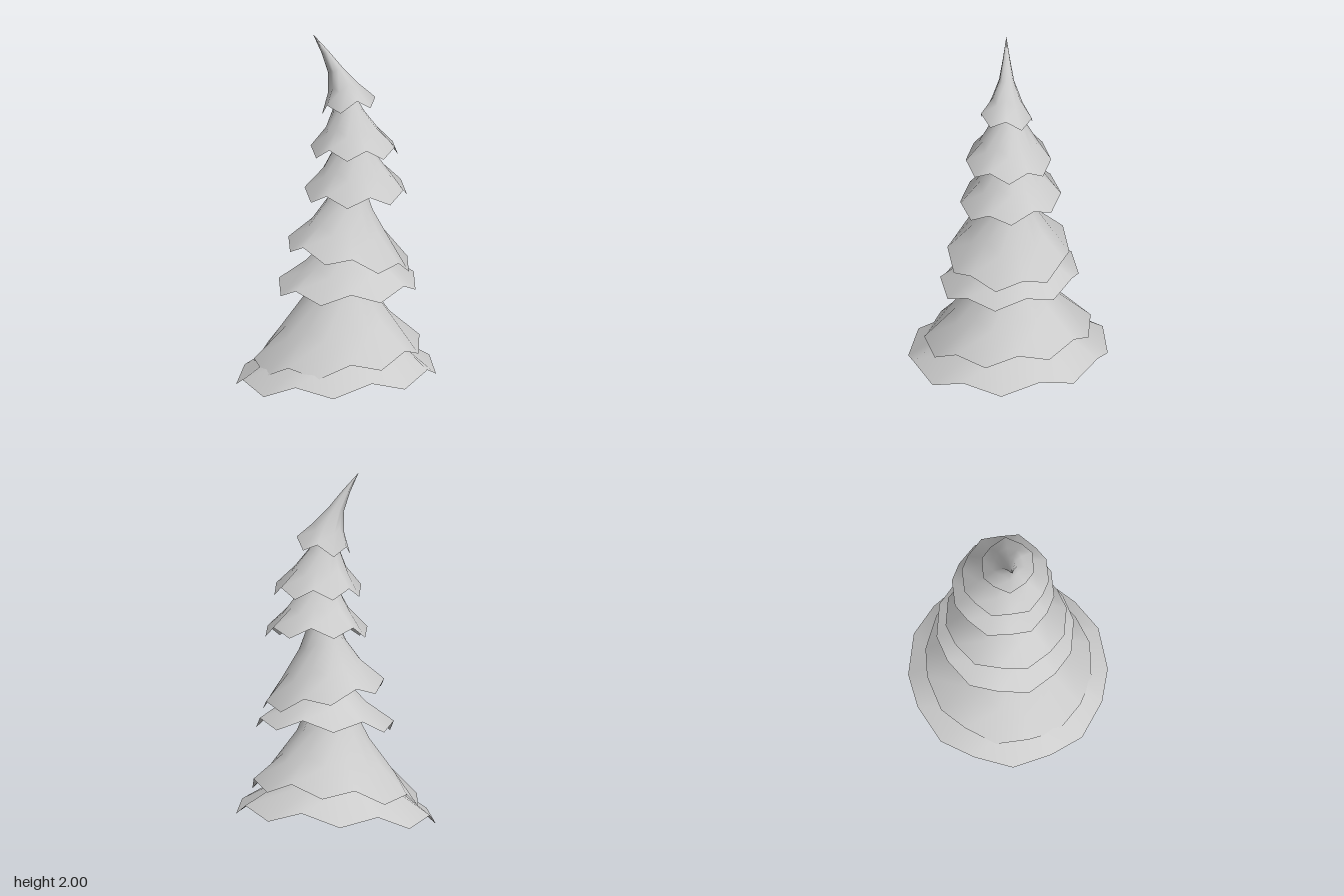
import * as THREE from 'three';

// Tiers from the ground up. phase: turn in sides; slim: above 1 narrows the neck;
// rim: height, radius, centre x, centre z; tilt: rise of the rim along x and z; tip: x, height, z
const tiers = [
  { name: 'bottomBranches', sides: 16, phase: 0.5, slim: 1.12, rim: [0.08, 0.56, 0, 0], tilt: [0.075, 0.02], tip: [0.02, 0.72, 0.02] },
  { name: 'secondBranches', sides: 16, phase: 1, slim: 0.88, rim: [0.2, 0.47, 0, 0.005], tilt: [0.14, 0.03], tip: [0.03, 0.88, 0.03] },
  { name: 'thirdBranches', sides: 14, phase: 0.5, slim: 1, rim: [0.585, 0.388, 0.045, 0.045], tilt: [0.1, -0.03], tip: [0.05, 1.05, 0.05] },
  { name: 'middleBranches', sides: 14, phase: 0.5, slim: 0.97, rim: [0.755, 0.342, 0.045, 0.055], tilt: [-0.08, -0.16], tip: [0.06, 1.33, 0.05] },
  { name: 'fifthBranches', sides: 14, phase: 0, slim: 1, rim: [1.11, 0.288, 0.08, 0.08], tilt: [0.09, -0.05], tip: [0.04, 1.6, 0.04] },
  { name: 'sixthBranches', sides: 14, phase: 0, slim: 1, rim: [1.345, 0.245, 0.065, 0.08], tilt: [0.01, 0], tip: [0, 1.8, 0] },
  { name: 'topBranches', sides: 10, phase: 0.5, slim: 1.25, rim: [1.595, 0.15, 0.037, 0.06], tilt: [0.02, 0.18], tip: [-0.085, 2, -0.095] },
];

// Radius at equal steps from rim to tip, giving the flared skirt and narrow neck
const flare = [1, 0.64, 0.36, 0.2, 0.01];

// Pleated, tilted cone with a bent axis, open at the rim
function pleatedCone({ sides, phase, slim, rim, tilt, tip }) {
  const [rimY, radius, rimX, rimZ] = rim;
  const pleat = 0.025 + radius * 0.015;
  const pos = [], index = [];
  flare.forEach((step, j) => {
    const f = step ** slim;
    const t = j / (flare.length - 1);
    const bend = t ** 1.5;
    const cx = THREE.MathUtils.lerp(rimX, tip[0], bend);
    const cy = THREE.MathUtils.lerp(rimY, tip[1], t);
    const cz = THREE.MathUtils.lerp(rimZ, tip[2], bend);
    for (let i = 0; i < sides; i++) {
      const a = ((i + phase) / sides) * Math.PI * 2;
      const fold = i % 2 ? 1 : -1;
      // Folds alternate in height at the rim and in radius above it
      const r = radius * f * (j === 0 ? 1 : 1 - fold * 0.07);
      const x = Math.cos(a) * r, z = Math.sin(a) * r;
      pos.push(cx + x, cy + fold * pleat * f + x * tilt[0] + z * tilt[1], cz + z);
      if (j < flare.length - 1) {
        const p = j * sides + i, q = j * sides + ((i + 1) % sides);
        index.push(p, p + sides, q, q, p + sides, q + sides);
      }
    }
  });
  const geo = new THREE.BufferGeometry();
  geo.setAttribute('position', new THREE.Float32BufferAttribute(pos, 3));
  geo.setIndex(index);
  geo.computeVertexNormals();
  return geo;
}

export function createModel() {
  const group = new THREE.Group();
  group.name = 'firTree';
  const material = new THREE.MeshStandardMaterial({ color: 0xcccccc, side: THREE.DoubleSide });
  for (const tier of tiers) {
    const mesh = new THREE.Mesh(pleatedCone(tier), material);
    mesh.name = tier.name;
    group.add(mesh);
  }
  return group;
}
